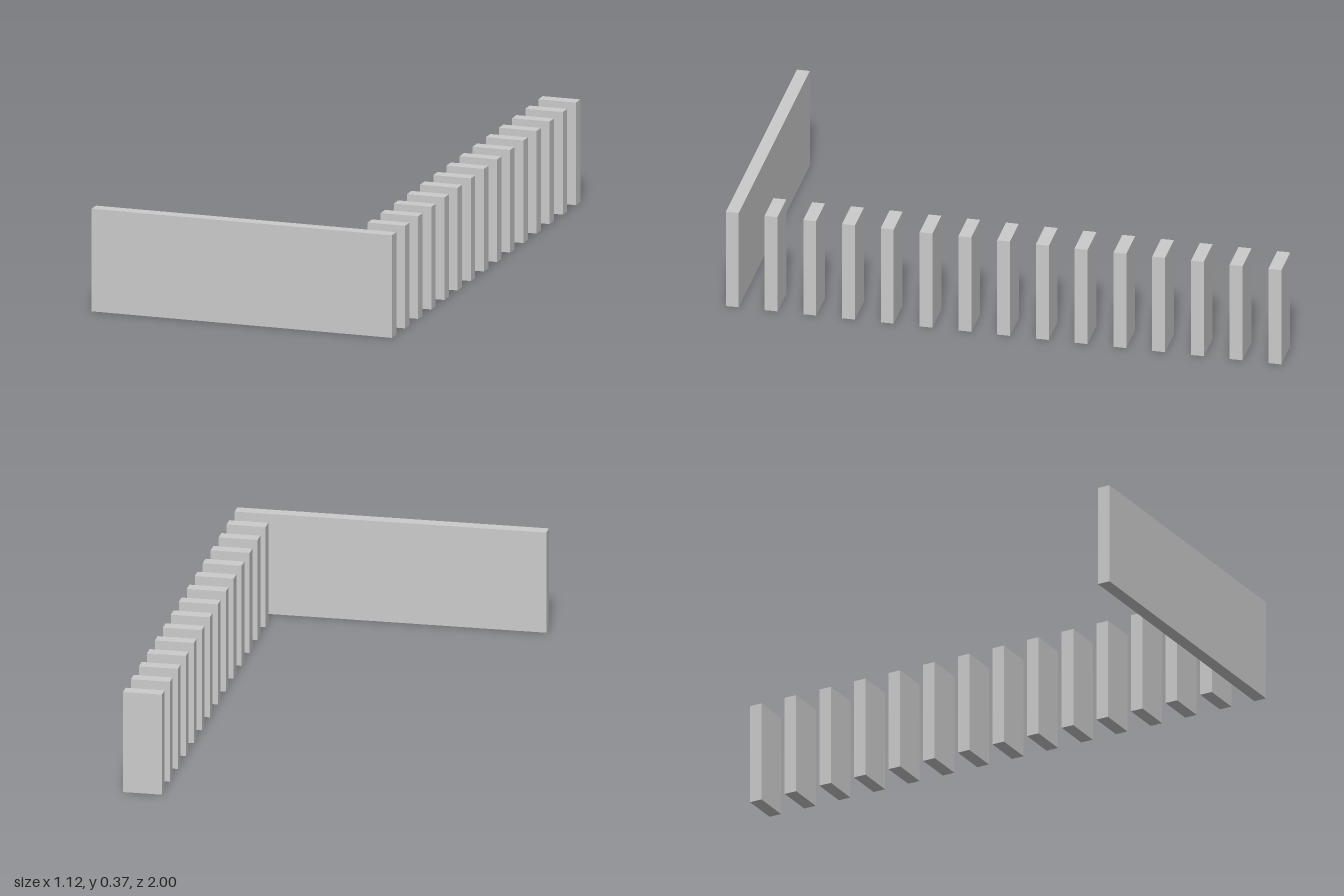
import * as THREE from 'three';

const T = 2 / 43;        // slab thickness, the module of the layout
const HEIGHT = 8 * T;
const WALL = 24 * T;     // wall length along x
const FIN = 3 * T;       // fin width, also the fin spacing
const FIN_COUNT = 14;

export function createModel() {
  const group = new THREE.Group();
  group.name = 'slattedScreen';
  const material = new THREE.MeshStandardMaterial({ color: 0xcccccc });

  // upright slab standing on the ground
  const slab = (name, width, x, z) => {
    const mesh = new THREE.Mesh(new THREE.BoxGeometry(width, HEIGHT, T), material);
    mesh.name = name;
    mesh.position.set(x, HEIGHT / 2, z);
    group.add(mesh);
  };

  // long front wall
  const frontZ = 1 - T / 2;
  slab('frontWall', WALL, 0, frontZ);

  // row of fins running back from the wall's left end
  for (let i = 1; i <= FIN_COUNT; i++) {
    slab(`fin${i}`, FIN, (WALL - FIN) / 2, frontZ - i * FIN);
  }
  return group;
}
